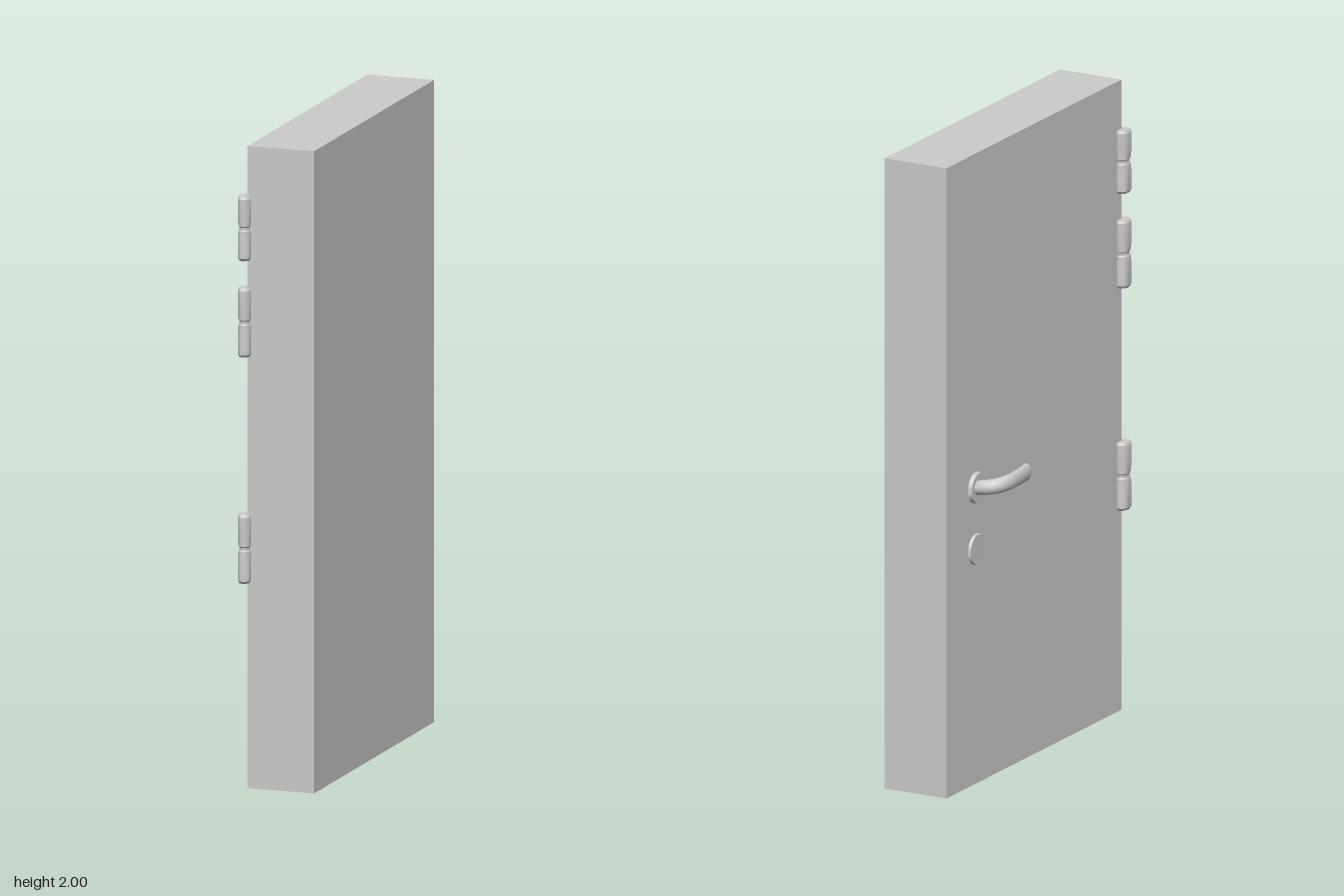
import * as THREE from 'three';
import { mergeVertices, toCreasedNormals } from 'three/addons/utils/BufferGeometryUtils.js';

const material = new THREE.MeshStandardMaterial({ color: 0xcccccc });

function part(name, geometry, x = 0, y = 0, z = 0) {
  const mesh = new THREE.Mesh(geometry, material);
  mesh.name = name;
  mesh.position.set(x, y, z);
  return mesh;
}

// Door slab: slightly skewed plan (x, z), extruded upward
function slabGeometry() {
  const plan = [[-0.055, -0.565], [-0.075, 0.533], [0.141, 0.541], [0.162, -0.557]];
  const shape = new THREE.Shape(plan.map(([x, z]) => new THREE.Vector2(x, -z)));
  return new THREE.ExtrudeGeometry(shape, { depth: 2, bevelEnabled: false }).rotateX(-Math.PI / 2);
}

// Hinge: two chamfered barrels with a narrow joint, oval in plan
function hingeGeometry(height) {
  const h = height / 2;
  const profile = [
    [0, -h], [0.8, -h], [1, -h + 0.008], [1, -0.03], [0.9, -0.008], [0.78, -0.004],
    [0.78, 0.004], [0.9, 0.008], [1, 0.03], [1, h - 0.008], [0.8, h], [0, h],
  ].map(([r, y]) => new THREE.Vector2(r, y));
  const geometry = new THREE.LatheGeometry(profile, 24).scale(0.021, 1, 0.032);
  return toCreasedNormals(geometry, 0.5);
}

// Round cover plate lying against the door face
function rosetteGeometry(thickness) {
  const geometry = new THREE.CylinderGeometry(0.046, 0.05, thickness, 32).rotateZ(Math.PI / 2);
  return toCreasedNormals(geometry, 0.5);
}

// Lever: bent tube whose oval section flattens toward a rounded tip
function leverGeometry() {
  const path = new THREE.CatmullRomCurve3([
    [-0.056, 0.94, -0.385], [-0.1, 0.948, -0.387], [-0.13, 0.953, -0.371],
    [-0.147, 0.957, -0.33], [-0.148, 0.957, -0.28], [-0.141, 0.957, -0.195],
  ].map((p) => new THREE.Vector3(...p)));
  const rings = 64, sides = 20, domeRings = 4;
  const geometry = new THREE.TubeGeometry(path, rings, 1, sides);
  const pos = geometry.attributes.position;
  const p = new THREE.Vector3();
  for (let i = 0; i <= rings; i++) {
    const t = i / rings;
    const centre = path.getPointAt(t);
    const tip = Math.max(0, i - rings + domeRings) / domeRings;
    const round = Math.sqrt(1 - tip * tip);
    const flat = THREE.MathUtils.lerp(0.025, 0.0155, THREE.MathUtils.smoothstep(t, 0.1, 0.6)) * round;
    const tall = THREE.MathUtils.lerp(0.022, 0.028, t) * round;
    for (let j = 0; j <= sides; j++) {
      const k = i * (sides + 1) + j;
      p.fromBufferAttribute(pos, k).sub(centre);
      pos.setXYZ(k, centre.x + p.x * flat, centre.y + p.y * tall, centre.z + p.z * flat);
    }
  }
  // Weld the seam so the shading stays smooth
  geometry.deleteAttribute('uv');
  geometry.deleteAttribute('normal');
  const welded = mergeVertices(geometry, 1e-5);
  welded.computeVertexNormals();
  return welded;
}

export function createModel() {
  const door = new THREE.Group();
  door.name = 'door';
  door.add(part('doorSlab', slabGeometry()));

  // Three hinges along the front edge: bottom and top heights
  const hinges = new THREE.Group();
  hinges.name = 'hinges';
  [[0.64, 0.855], [1.345, 1.56], [1.645, 1.845]].forEach(([low, high], i) => {
    hinges.add(part(`hinge${i + 1}`, hingeGeometry(high - low), -0.084, (low + high) / 2, 0.53));
  });
  door.add(hinges);

  // Handle with its plate, and the lock plate below
  const handle = new THREE.Group();
  handle.name = 'handle';
  handle.add(part('handlePlate', rosetteGeometry(0.014), -0.063, 0.94, -0.38));
  handle.add(part('lever', leverGeometry()));
  door.add(handle);
  door.add(part('lockPlate', rosetteGeometry(0.01), -0.061, 0.745, -0.38));

  return door;
}
